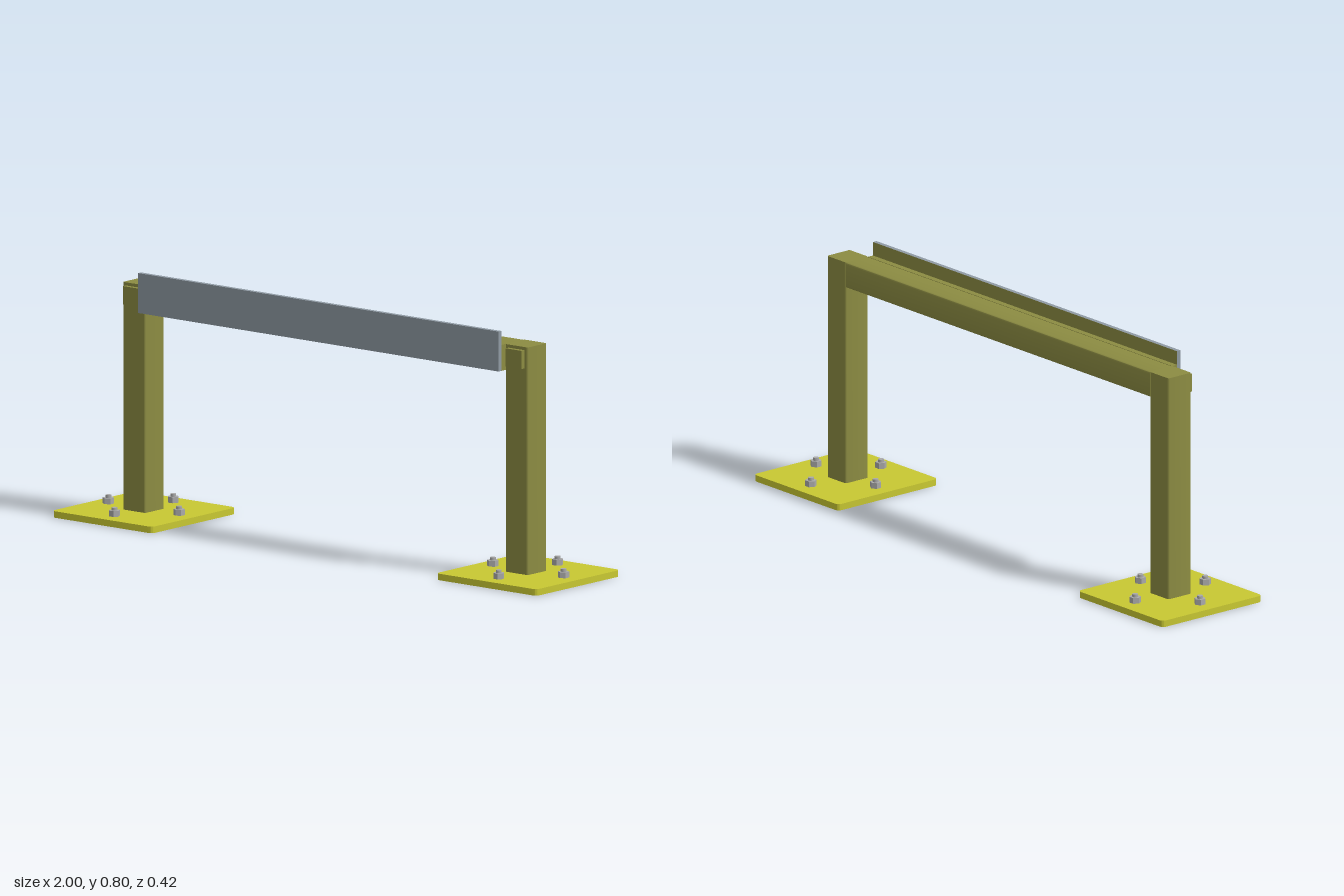
import * as THREE from 'three';
import { toCreasedNormals } from 'three/addons/utils/BufferGeometryUtils.js';

const mat = (color) => new THREE.MeshStandardMaterial({ color });
const olive = mat(0x8c8c42);
const yellow = mat(0xc8c832);
const slate = mat(0x8f9aa3);
const steel = mat(0xaaaaaa);

function add(parent, name, geometry, material, x = 0, y = 0, z = 0) {
  const mesh = new THREE.Mesh(geometry, material);
  mesh.name = name;
  mesh.position.set(x, y, z);
  parent.add(mesh);
  return mesh;
}

// Prism of a rounded rectangle, rising along +y from y = 0
function roundedPrism(w, d, h, r) {
  const a = w / 2 - r, b = d / 2 - r;
  const s = new THREE.Shape();
  s.absarc(a, b, r, 0, Math.PI / 2);
  s.absarc(-a, b, r, Math.PI / 2, Math.PI);
  s.absarc(-a, -b, r, Math.PI, Math.PI * 1.5);
  s.absarc(a, -b, r, Math.PI * 1.5, Math.PI * 2);
  const g = new THREE.ExtrudeGeometry(s, { depth: h, bevelEnabled: false, curveSegments: 5 });
  g.rotateX(-Math.PI / 2);
  return toCreasedNormals(g, Math.PI / 6);
}

// Box given by its limits on each axis
function addBox(parent, name, material, [x0, x1], [y0, y1], [z0, z1]) {
  return add(parent, name, new THREE.BoxGeometry(x1 - x0, y1 - y0, z1 - z0), material,
    (x0 + x1) / 2, (y0 + y1) / 2, (z0 + z1) / 2);
}

const PLATE_H = 0.021, TOP = 0.757, BEAM_BOTTOM = 0.673, HALF = 0.047;

function makeAnchor() {
  const g = new THREE.Group();
  g.name = 'anchorBolt';
  const nut = new THREE.CylinderGeometry(0.0185, 0.0185, 0.019, 6).toNonIndexed();
  nut.computeVertexNormals();
  add(g, 'nut', nut, steel, 0, 0.0095, 0);
  add(g, 'stud', new THREE.CylinderGeometry(0.0095, 0.0095, 0.028, 16), steel, 0, 0.014, 0);
  return g;
}

export function createModel() {
  const root = new THREE.Group();
  root.name = 'barrier';

  const supports = [
    { name: 'rightSupport', plateX: -0.793, postX: -0.794 },
    { name: 'leftSupport', plateX: 0.793, postX: 0.784 },
  ];
  for (const { name, plateX, postX } of supports) {
    const g = new THREE.Group();
    g.name = name;
    root.add(g);

    // Foot plate and upright
    add(g, 'footPlate', roundedPrism(0.414, 0.416, PLATE_H, 0.016), yellow, plateX, 0, 0);
    add(g, 'post', roundedPrism(0.092, HALF * 2, TOP - PLATE_H, 0.006), olive, postX, PLATE_H, 0);

    // Small pad on the front of the post head
    addBox(g, 'postPad', olive, [postX - 0.033, postX + 0.033], [0.688, 0.747], [HALF - 0.002, 0.062]);

    // Four anchors in a ring about the post
    for (let i = 0; i < 4; i++) {
      const a = (i * Math.PI) / 2;
      const bolt = makeAnchor();
      bolt.position.set(plateX + Math.cos(a) * 0.146, PLATE_H, Math.sin(a) * 0.146);
      bolt.rotation.y = -a;
      g.add(bolt);
    }
  }

  // Cross beam between the posts, with a spacer on its front
  const span = [-0.749, 0.738];
  const beam = roundedPrism(TOP - BEAM_BOTTOM, HALF * 2, span[1] - span[0], 0.006);
  beam.rotateZ(-Math.PI / 2);
  add(root, 'crossBeam', beam, olive, span[0], (TOP + BEAM_BOTTOM) / 2, 0);
  addBox(root, 'spacer', olive, span, [BEAM_BOTTOM, TOP], [HALF - 0.002, 0.066]);

  // Front board, olive on its back face
  addBox(root, 'frontBoard', [slate, slate, slate, slate, slate, olive],
    span, [BEAM_BOTTOM, 0.802], [0.066, 0.081]);

  return root;
}
